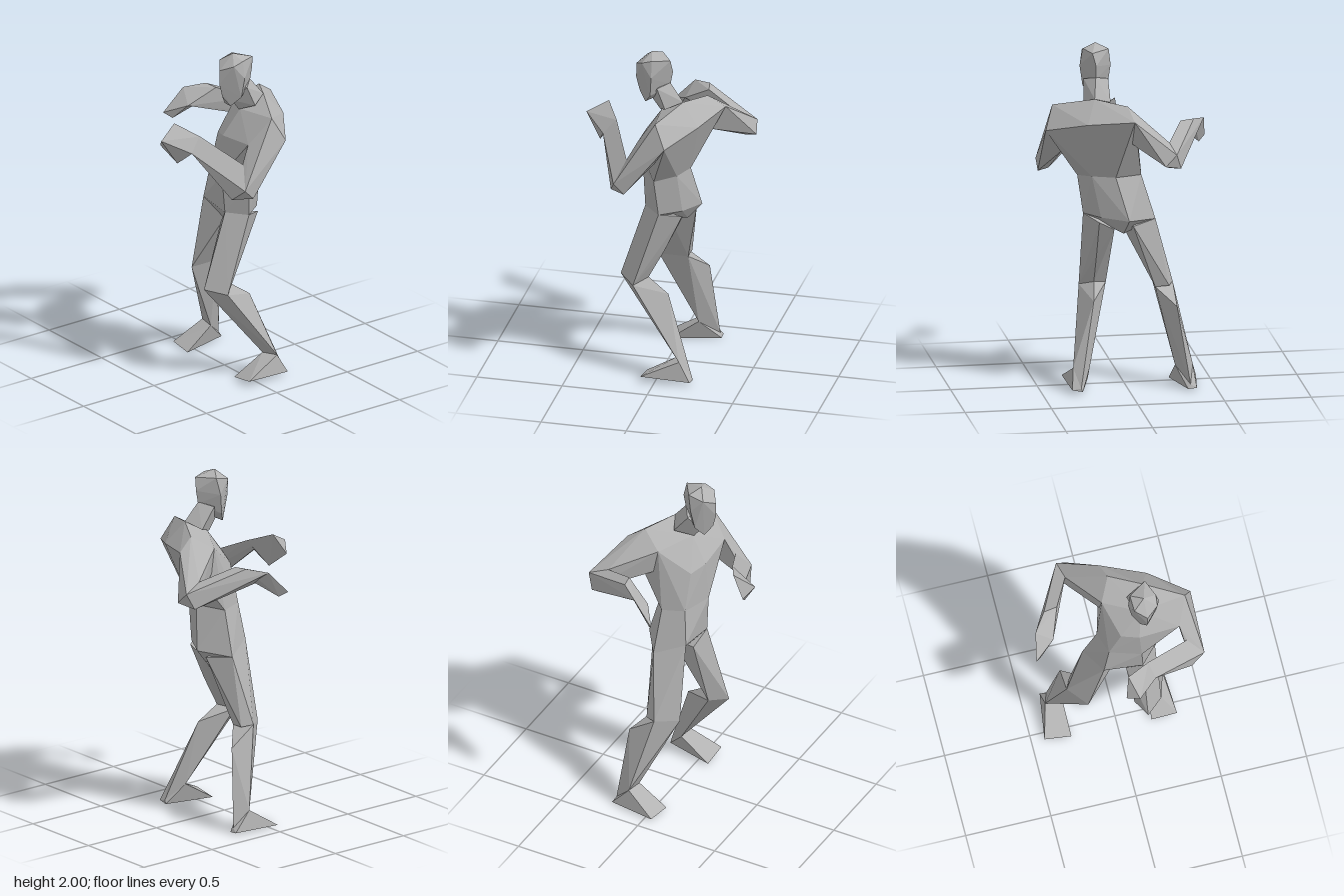
import * as THREE from 'three';
import { ConvexGeometry } from 'three/addons/geometries/ConvexGeometry.js';

export function createModel() {
  const group = new THREE.Group();
  group.name = 'lurchingFigure';
  const grey = new THREE.MeshStandardMaterial({ color: 0xb2b2b2 });
  grey.name = 'plainGrey';

  // A faceted solid stretched over the joined cross-sections
  function part(name, ...rings) {
    const pts = rings.flat().map((p) => new THREE.Vector3(...p));
    const mesh = new THREE.Mesh(new ConvexGeometry(pts), grey);
    mesh.name = name;
    group.add(mesh);
  }
  // A chain of solids sharing the cross-section at each joint
  function chain(names, rings) {
    names.forEach((n, i) => part(n, rings[i], rings[i + 1]));
  }

  // Head and neck
  part('head', [
    [0.155, 2.0, 0.055], [0.085, 1.97, 0.01], [0.19, 1.965, -0.06], [0.23, 1.97, 0.04],
    [0.09, 1.95, 0.1], [0.225, 1.95, 0.1], [0.155, 1.915, 0.148], [0.155, 1.83, 0.15],
    [0.07, 1.87, 0.03], [0.248, 1.87, 0.04], [0.17, 1.89, -0.07], [0.17, 1.81, -0.055],
    [0.085, 1.75, 0.05], [0.23, 1.75, 0.05], [0.155, 1.75, 0.13],
    [0.125, 1.69, 0.09], [0.18, 1.69, 0.09], [0.155, 1.74, 0.0],
  ]);
  part('neck',
    [[0.09, 1.68, -0.09], [0.19, 1.715, -0.135], [0.24, 1.68, -0.04], [0.15, 1.64, 0.01]],
    [[0.09, 1.8, 0.0], [0.17, 1.82, -0.055], [0.23, 1.8, 0.01], [0.15, 1.71, 0.06]]);

  // Torso sections, twisted so its right shoulder swings back
  const shoulders = [
    [0.015, 1.69, -0.235], [-0.01, 1.62, -0.335], [-0.05, 1.61, -0.115],
    [0.15, 1.64, 0.0], [0.19, 1.715, -0.135], [0.245, 1.59, -0.236],
    [0.417, 1.665, -0.026], [0.465, 1.53, -0.09],
  ];
  const chest = [
    [0.12, 1.49, 0.1], [0.02, 1.47, 0.06], [0.355, 1.51, 0.095],
    [-0.055, 1.465, -0.12], [-0.01, 1.48, -0.25],
  ];
  const waist = [
    [0.13, 1.25, 0.115], [-0.05, 1.25, 0.06], [-0.09, 1.24, -0.07],
    [0.07, 1.25, -0.15], [0.2, 1.25, -0.1], [0.265, 1.23, 0.02],
  ];
  const hips = [
    [0.14, 1.02, 0.1], [-0.085, 1.04, 0.085], [-0.17, 0.98, -0.08],
    [0.0, 1.0, -0.2], [0.15, 1.01, -0.12], [0.235, 1.01, 0.0],
  ];
  part('chest', shoulders, chest, waist);
  part('abdomen', waist, hips);
  part('pelvis', hips, [[0.0, 0.91, 0.0], [0.04, 0.91, -0.02], [0.02, 0.91, -0.12]]);

  // Left arm, bent across the front
  chain(['leftUpperArm', 'leftForearm', 'leftHand'], [
    [[0.417, 1.665, -0.026], [0.465, 1.53, -0.09], [0.36, 1.38, 0.0], [0.355, 1.51, 0.095]],
    [[0.385, 1.41, 0.15], [0.475, 1.29, 0.205], [0.394, 1.22, 0.24], [0.472, 1.23, 0.145]],
    [[0.155, 1.45, 0.345], [0.13, 1.53, 0.27], [-0.008, 1.585, 0.35]],
    [[-0.037, 1.46, 0.428], [0.032, 1.518, 0.472], [0.066, 1.37, 0.383]],
  ]);

  // Right arm, elbow thrown back and hand drooping
  chain(['rightUpperArm', 'rightForearm', 'rightHand'], [
    [[0.015, 1.69, -0.235], [-0.01, 1.62, -0.335], [-0.05, 1.61, -0.115],
      [-0.05, 1.47, -0.13], [-0.01, 1.47, -0.25]],
    [[-0.205, 1.5, -0.354], [-0.23, 1.455, -0.467], [-0.165, 1.39, -0.477],
      [-0.26, 1.365, -0.43], [-0.2, 1.365, -0.41]],
    [[-0.455, 1.555, -0.046], [-0.38, 1.58, -0.15], [-0.3, 1.575, -0.165],
      [-0.36, 1.48, -0.01], [-0.35, 1.49, -0.09]],
    [[-0.48, 1.42, 0.077], [-0.44, 1.39, 0.04]],
  ]);

  // Left leg, knee pushed forward
  const leftKnee = [[0.08, 0.56, 0.14], [0.135, 0.575, 0.245], [0.235, 0.55, 0.15], [0.16, 0.58, 0.075]];
  const leftAnkle = [[0.215, 0.125, -0.11], [0.315, 0.135, -0.14], [0.28, 0.03, -0.21]];
  part('leftThigh',
    [[0.235, 1.01, 0.0], [0.14, 1.02, 0.1], [0.05, 0.93, 0.06], [0.07, 0.93, -0.1], [0.16, 0.98, -0.12]],
    [[0.235, 0.76, 0.08], [0.16, 0.76, -0.02]], leftKnee);
  part('leftShin', leftKnee, [[0.18, 0.495, -0.045]], leftAnkle);
  part('leftFoot', leftAnkle,
    [[0.195, 0.012, 0.075], [0.345, 0.035, 0.08], [0.27, 0.01, -0.21], [0.33, 0.02, -0.205]]);

  // Right leg, braced out to the side
  const rightKnee = [[-0.18, 0.57, 0.098], [-0.28, 0.59, -0.015], [-0.17, 0.575, -0.075]];
  const rightAnkle = [[-0.378, 0.125, -0.125], [-0.278, 0.12, -0.11], [-0.35, 0.03, -0.22]];
  part('rightThigh',
    [[-0.085, 1.04, 0.085], [-0.17, 0.98, -0.08], [-0.03, 0.96, -0.16], [0.0, 0.91, 0.0]],
    rightKnee, [[-0.25, 0.58, -0.08]]);
  part('rightShin', rightKnee, [[-0.28, 0.48, -0.175]], rightAnkle);
  part('rightFoot', rightAnkle,
    [[-0.425, 0.012, 0.046], [-0.27, 0.0, 0.06], [-0.385, 0.01, -0.23], [-0.335, 0.005, -0.23]]);

  return group;
}
